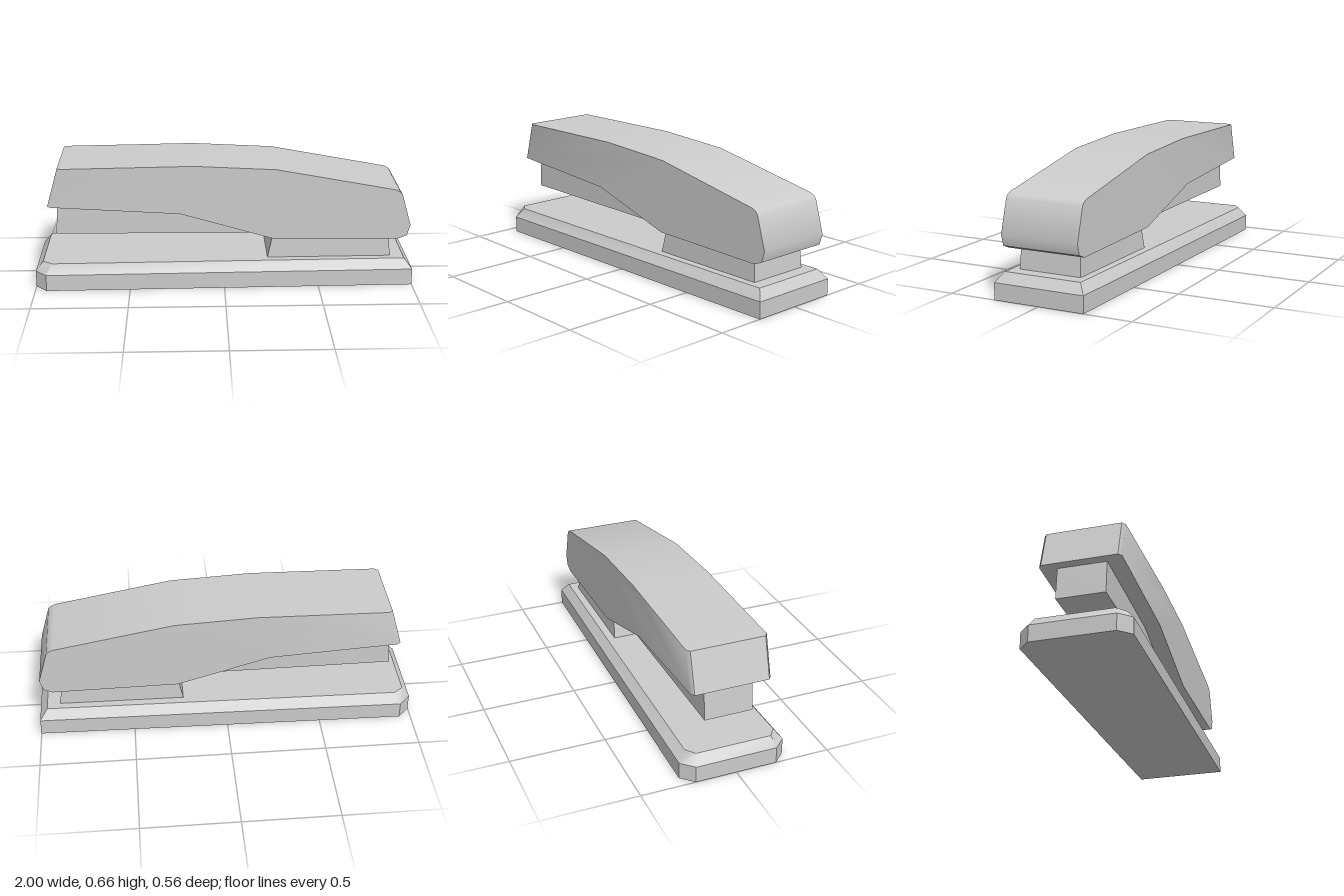
import * as THREE from 'three';
import { toCreasedNormals } from 'three/addons/utils/BufferGeometryUtils.js';

const grey = new THREE.MeshStandardMaterial({ color: 0xcccccc });

// Closed solid through layers [z, counter-clockwise outline], listed with rising z.
function loft(layers, crease) {
  const pos = [];
  const n = layers[0][1].length;
  const put = (layer, i) => pos.push(...layer[1][i % n], layer[0]);
  for (let k = 0; k + 1 < layers.length; k++) {
    const a = layers[k], b = layers[k + 1];
    for (let i = 0; i < n; i++) {
      put(a, i); put(a, i + 1); put(b, i + 1);
      put(a, i); put(b, i + 1); put(b, i);
    }
  }
  const cap = (layer, flip) => {
    const outline = layer[1].map(([x, y]) => new THREE.Vector2(x, y));
    for (const [a, b, c] of THREE.ShapeUtils.triangulateShape(outline, [])) {
      for (const i of flip ? [a, c, b] : [a, b, c]) put(layer, i);
    }
  };
  cap(layers[0], true);
  cap(layers[layers.length - 1], false);
  const geometry = new THREE.BufferGeometry();
  geometry.setAttribute('position', new THREE.Float32BufferAttribute(pos, 3));
  return toCreasedNormals(geometry, crease);
}

// Half an outline (y < 0, running towards +x) completed by its mirror image.
const mirrored = (half) => [...half, ...half.map(([x, y]) => [x, -y]).reverse()];

export function createModel() {
  const model = new THREE.Group();
  const add = (name, geometry) => {
    const mesh = new THREE.Mesh(geometry, grey);
    mesh.name = name;
    model.add(mesh);
  };

  // Tapering foot plate with cut corners at one end and a bevelled rim
  const rim = mirrored([[-1, -0.215], [-0.94, -0.278], [1, -0.247]]);
  const deck = mirrored([[-0.96, -0.2], [-0.91, -0.238], [0.96, -0.21]]);
  add('base', loft([[0, rim], [0.088, rim], [0.138, deck]], 0.6).rotateX(-Math.PI / 2));

  // Hinge block between base and arm
  const blockFoot = mirrored([[0.23, -0.178], [0.89, -0.171]]);
  const blockTop = mirrored([[0.26, -0.17], [0.878, -0.164]]);
  add('hingeBlock', loft([[0.13, blockFoot], [0.27, blockTop]], 0.5).rotateX(-Math.PI / 2));

  // Staple magazine tucked under the arm
  const rail = [[-0.892, 0.266], [0.6, 0.256], [0.6, 0.36], [-0.2, 0.45], [-0.876, 0.46]];
  add('magazine', loft([[-0.127, rail], [0.127, rail]], 0.3));

  // Arm: side profile across the width, nose corners slightly cut back
  const armProfile = (cut) => [
    [-0.925 + cut, 0.442], [-0.23, 0.4], [0.26, 0.256], [0.92, 0.248], [0.968, 0.268],
    [0.985, 0.325], [0.935, 0.495], [0.923, 0.51], [0.9, 0.522],
    [0.27, 0.639], [-0.16, 0.661], [-0.865 + cut, 0.651],
  ];
  const inner = armProfile(0), outer = armProfile(0.02);
  add('arm', loft([[-0.21, outer], [-0.195, inner], [0.195, inner], [0.21, outer]], 0.7));

  return model;
}
